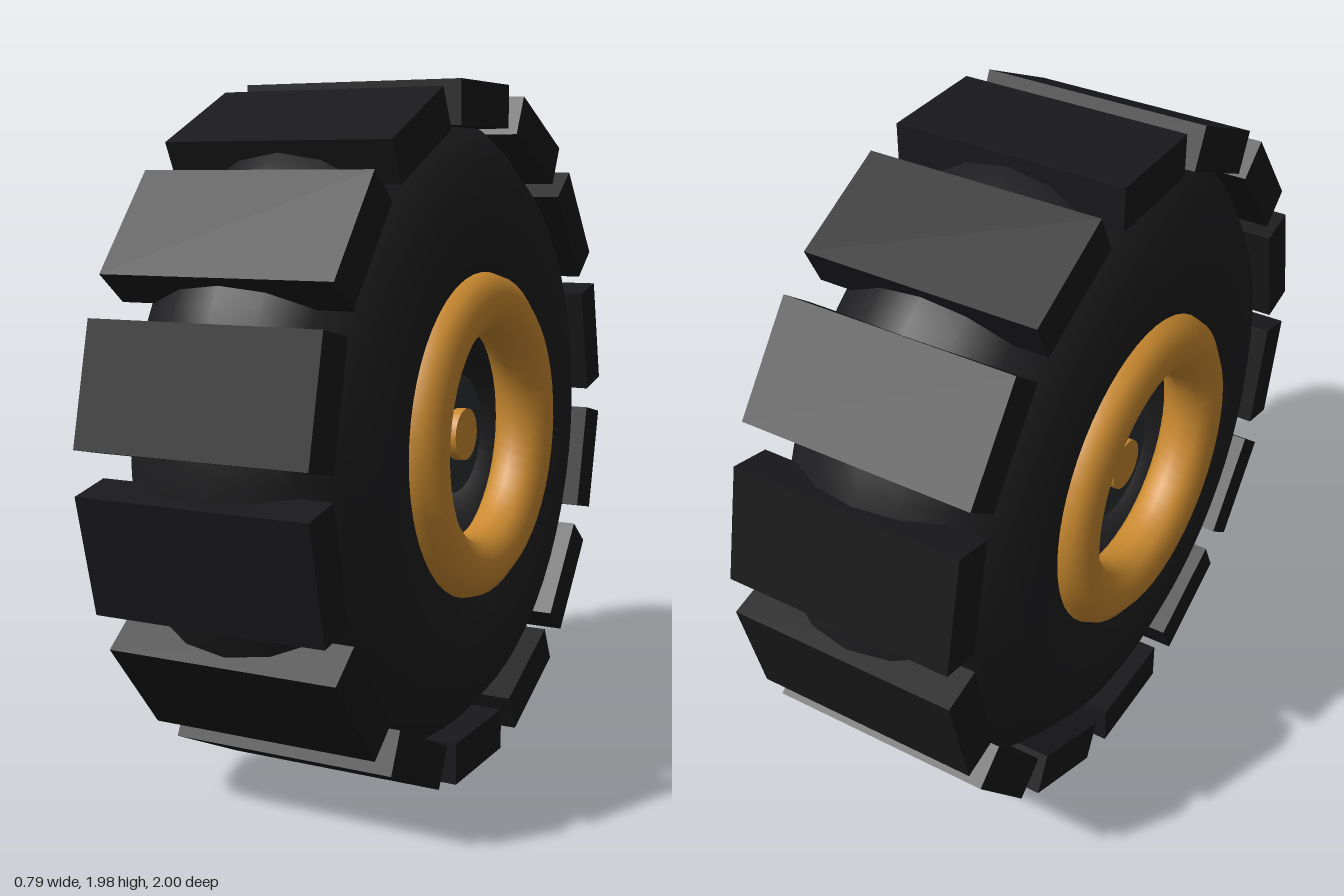
import * as THREE from 'three';

export function createModel() {
  const R = 0.988; // wheel radius over the tread blocks
  const mat = (color) => new THREE.MeshStandardMaterial({ color });
  const rubber = mat(0x1e1e20);
  const treadRubber = mat(0x19191b);
  const darkMetal = mat(0x2c2e30);
  const orange = mat(0xcc8b30);

  const wheel = new THREE.Group();
  wheel.name = 'wheel';
  wheel.position.y = R;

  const add = (name, geometry, material, parent = wheel) => {
    const mesh = new THREE.Mesh(geometry, material);
    mesh.name = name;
    parent.add(mesh);
    return mesh;
  };
  // Rings and cylinders share the axle direction, x
  const ring = (radius, tube, sides, segments) =>
    new THREE.TorusGeometry(radius, tube, sides, segments).rotateY(Math.PI / 2);
  const axial = (radius, length, sides) =>
    new THREE.CylinderGeometry(radius, radius, length, sides).rotateZ(Math.PI / 2);

  // Fat rounded tyre
  add('tyre', ring(0.608, 0.363, 18, 56), rubber);

  // Blocky treads around the tyre
  const treads = new THREE.Group();
  treads.name = 'treads';
  wheel.add(treads);
  const blockHeight = 0.122;
  const block = new THREE.BoxGeometry(0.67, blockHeight, 0.33).translate(0, R - blockHeight / 2, 0);
  const blockCount = 14;
  for (let i = 0; i < blockCount; i++) {
    add('treadBlock', block, treadRubber, treads).rotation.x = (i / blockCount) * Math.PI * 2;
  }

  // Coloured rim ring on each side
  const rim = ring(0.381, 0.091, 10, 48);
  for (const side of [1, -1]) {
    add(side > 0 ? 'leftRim' : 'rightRim', rim, orange).position.x = side * 0.308;
  }

  // Hub with the axle cap standing proud at both ends
  add('hub', axial(0.172, 0.51, 24), darkMetal);
  add('axle', axial(0.075, 0.57, 24), orange);

  // Round spokes from the hub into the tyre's inner wall
  const spokes = new THREE.Group();
  spokes.name = 'spokes';
  wheel.add(spokes);
  const spoke = new THREE.CylinderGeometry(0.045, 0.045, 0.2, 12).translate(0, 0.2, 0);
  for (let i = 0; i < 8; i++) {
    add('spoke', spoke, darkMetal, spokes).rotation.x = (i / 8) * Math.PI * 2;
  }

  const model = new THREE.Group();
  model.name = 'offRoadWheel';
  model.add(wheel);
  return model;
}
